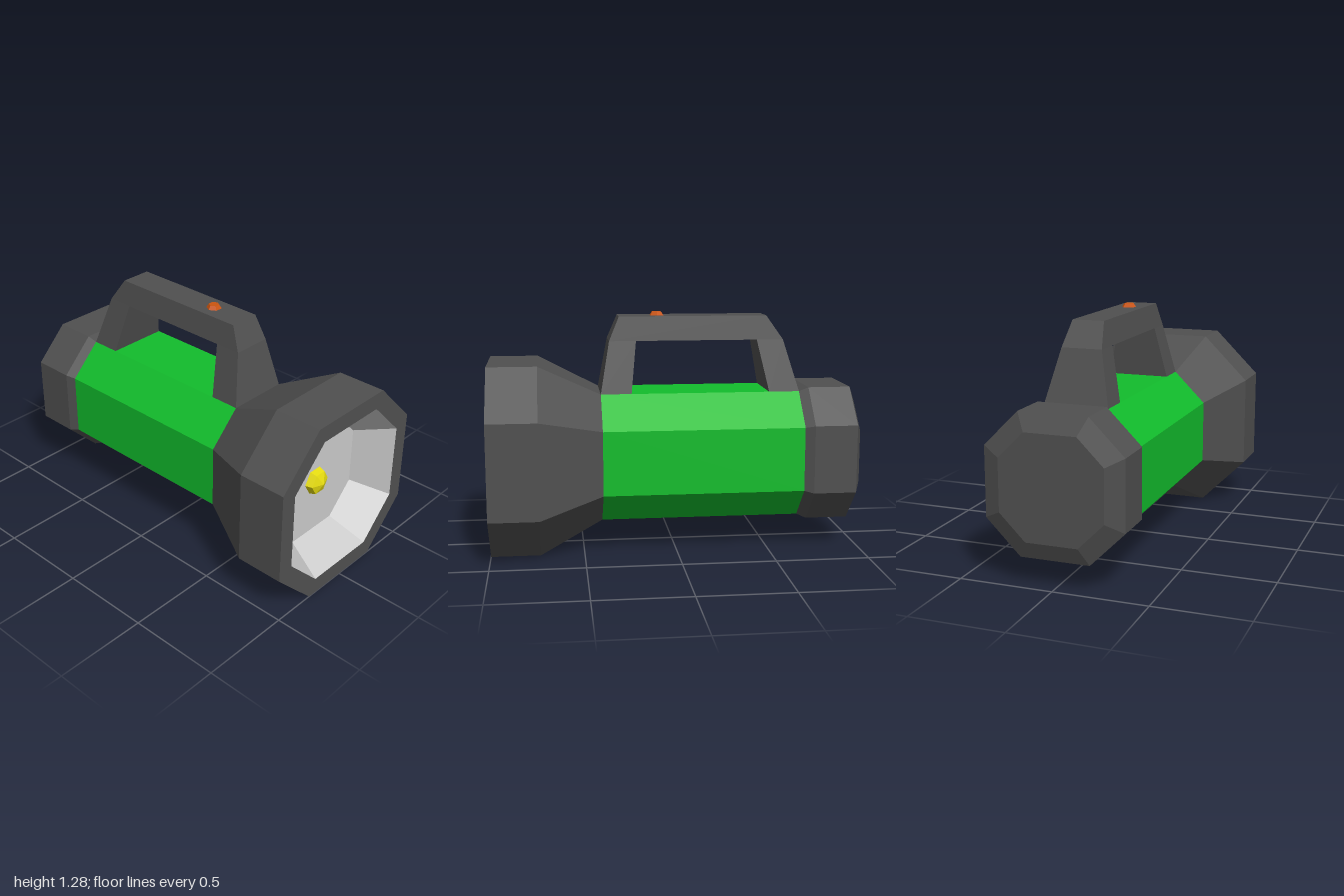
import * as THREE from 'three';

const AXIS_Y = 0.512; // height of the barrel axis

const paint = (color) => new THREE.MeshStandardMaterial({ color, flatShading: true });

// Octagon with flat sides at +-h and corners at half of that
const octagon = (h) => [
  [1, -0.5], [1, 0.5], [0.5, 1], [-0.5, 1], [-1, 0.5], [-1, -0.5], [-0.5, -1], [0.5, -1],
].map(([x, y]) => [x * h, y * h]);

// Skin octagonal sections given as [half width, z], ordered from back to front
function octagonLoft(sections) {
  const pos = [];
  for (let s = 0; s < sections.length - 1; s++) {
    const [ha, za] = sections[s];
    const [hb, zb] = sections[s + 1];
    const a = octagon(ha), b = octagon(hb);
    for (let i = 0; i < 8; i++) {
      const j = (i + 1) % 8;
      const quad = [[...a[i], za], [...a[j], za], [...b[j], zb], [...b[i], zb]];
      if (ha > 0) pos.push(...quad[0], ...quad[1], ...quad[2]);
      if (hb > 0) pos.push(...(ha > 0 ? quad[0] : quad[1]), ...quad[2], ...quad[3]);
    }
  }
  const geo = new THREE.BufferGeometry();
  geo.setAttribute('position', new THREE.Float32BufferAttribute(pos, 3));
  geo.computeVertexNormals();
  return geo.translate(0, AXIS_Y, 0);
}

// Handle half width narrows with height
const handleHalfWidth = (y) => (y < 1.135
  ? THREE.MathUtils.mapLinear(y, 0.857, 1.135, 0.172, 0.108)
  : THREE.MathUtils.mapLinear(y, 1.135, 1.265, 0.108, 0.085));

// Extrude a side outline of [z, y] points across x, then taper it
function handlePiece(points) {
  const shape = new THREE.Shape(points.map(([z, y]) => new THREE.Vector2(-z, y)));
  const geo = new THREE.ExtrudeGeometry(shape, { depth: 2, bevelEnabled: false });
  geo.translate(0, 0, -1).rotateY(Math.PI / 2);
  const p = geo.attributes.position;
  for (let i = 0; i < p.count; i++) p.setX(i, p.getX(i) * handleHalfWidth(p.getY(i)));
  geo.computeVertexNormals();
  return geo;
}

export function createModel() {
  const model = new THREE.Group();
  const dark = paint(0x505050);
  const green = paint(0x12bd2c);
  const grey = paint(0xcccccc);
  const yellow = paint(0xe6dc10);
  const orange = paint(0xcc5510);

  const add = (name, geo, mat, parent = model) => {
    const mesh = new THREE.Mesh(geo, mat);
    mesh.name = name;
    parent.add(mesh);
    return mesh;
  };

  // Barrel, flared head with its rim, and rear cap
  add('barrel', octagonLoft([[0.345, -0.68], [0.345, 0.4]]), green);
  add('head', octagonLoft([[0.345, 0.4], [0.51, 0.735], [0.51, 1], [0.42, 1]]), dark);
  add('rearCap', octagonLoft([
    [0, -1], [0.275, -1], [0.367, -0.96], [0.367, -0.73], [0.345, -0.68],
  ]), dark);

  // Recessed reflector
  add('reflector', octagonLoft([[0.42, 1], [0.318, 0.8], [0, 0.8]]), grey);

  // Six-sided bulb with a pointed front
  const bulbProfile = [[0.077, 0], [0.065, 0.04], [0, 0.065]].map(([r, y]) => new THREE.Vector2(r, y));
  const bulb = add('bulb', new THREE.LatheGeometry(bulbProfile, 6, Math.PI / 2), yellow);
  bulb.rotation.x = Math.PI / 2;
  bulb.position.set(0, AXIS_Y, 0.797);

  // Carrying handle: two legs and a top bar
  const handle = new THREE.Group();
  handle.name = 'handle';
  model.add(handle);
  add('frontLeg', handlePiece([[0.4, 0.857], [0.235, 0.857], [0.205, 1.135], [0.35, 1.135]]), dark, handle);
  add('rearLeg', handlePiece([[-0.515, 0.857], [-0.68, 0.857], [-0.6, 1.135], [-0.455, 1.135]]), dark, handle);
  add('topBar', handlePiece([[0.35, 1.135], [-0.6, 1.135], [-0.51, 1.265], [0.295, 1.265]]), dark, handle);

  // Switch button on the handle
  const button = add('switchButton', new THREE.CylinderGeometry(0.028, 0.041, 0.02, 6, 1, false, Math.PI / 2), orange);
  button.position.set(0, 1.275, 0.083);

  return model;
}
